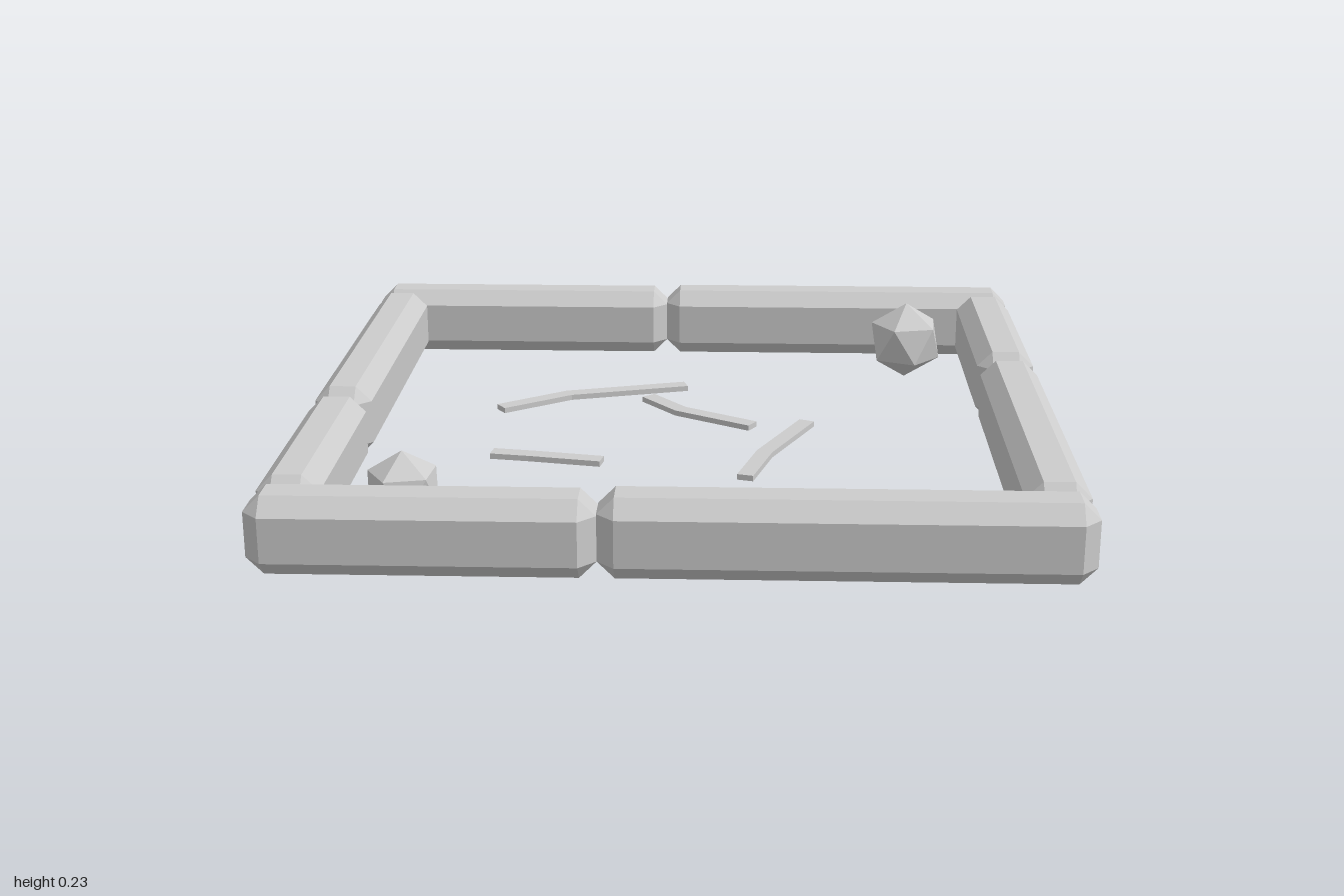
import * as THREE from 'three';
import { ConvexGeometry } from 'three/addons/geometries/ConvexGeometry.js';

const stone = new THREE.MeshStandardMaterial({ color: 0xcccccc });
stone.name = 'grey stone';

// Box with every edge and corner cut by c, as the hull of 24 points
function chamferedBox(w, h, d, c) {
  const points = [];
  for (const sx of [-1, 1]) for (const sy of [-1, 1]) for (const sz of [-1, 1]) {
    const x = w / 2, y = h / 2, z = d / 2;
    points.push(
      new THREE.Vector3(sx * x, sy * (y - c), sz * (z - c)),
      new THREE.Vector3(sx * (x - c), sy * y, sz * (z - c)),
      new THREE.Vector3(sx * (x - c), sy * (y - c), sz * z));
  }
  return new ConvexGeometry(points);
}

// Flat bent strip of constant width along [x, z] points, mitred at the bends
function crackGeometry(path, width, thickness) {
  const pts = path.map(([x, z]) => new THREE.Vector2(x, -z));
  const left = [], right = [];
  pts.forEach((p, i) => {
    const a = pts[Math.max(i - 1, 0)], b = pts[Math.min(i + 1, pts.length - 1)];
    const d1 = (i > 0 ? p.clone().sub(a) : b.clone().sub(p)).normalize();
    const d2 = (i < pts.length - 1 ? b.clone().sub(p) : d1.clone()).normalize();
    const t = d1.clone().add(d2).normalize();
    const n = new THREE.Vector2(-t.y, t.x).multiplyScalar(width / 2 / t.dot(d1));
    left.push(p.clone().add(n));
    right.unshift(p.clone().sub(n));
  });
  const g = new THREE.ExtrudeGeometry(new THREE.Shape([...left, ...right]), { depth: thickness, bevelEnabled: false });
  return g.rotateX(-Math.PI / 2);
}

export function createModel() {
  const model = new THREE.Group();
  model.name = 'stoneFloorFrame';
  const add = (name, geometry, x = 0, y = 0, z = 0) => {
    const mesh = new THREE.Mesh(geometry, stone);
    mesh.name = name;
    mesh.position.set(x, y, z);
    model.add(mesh);
  };

  // Border blocks: name, x range, z range, height
  const blocks = [
    ['frontBlockRight', -1, -0.17, 0.84, 1, 0.198],
    ['frontBlockLeft', -0.17, 1, 0.84, 1, 0.203],
    ['backBlockRight', -1, -0.08, -1, -0.845, 0.2],
    ['backBlockLeft', -0.08, 1, -1, -0.845, 0.204],
    ['rightBlockBack', -1, -0.845, -0.875, 0.18, 0.202],
    ['rightBlockFront', -1, -0.845, 0.18, 0.865, 0.2],
    ['leftBlockBack', 0.84, 1, -0.87, -0.187, 0.207],
    ['leftBlockFront', 0.84, 1, -0.187, 0.87, 0.206],
  ];
  for (const [name, x0, x1, z0, z1, h] of blocks)
    add(name, chamferedBox(x1 - x0, h, z1 - z0, 0.042), (x0 + x1) / 2, h / 2, (z0 + z1) / 2);

  // Corner rocks, each standing on one point
  const rock = r => new THREE.IcosahedronGeometry(r, 0)
    .rotateZ(-Math.atan(2 / (1 + Math.sqrt(5))))
    .rotateY(THREE.MathUtils.degToRad(31));
  add('rockLarge', rock(0.117), 0.668, 0.108, -0.68);
  add('rockSmall', rock(0.1), -0.672, 0.108, 0.665);

  // Bent cracks inside the frame
  const cracks = [
    [[-0.516, -0.056], [-0.334, -0.184], [0, -0.28]],
    [[-0.104, -0.168], [-0.008, -0.05], [0.195, 0.072]],
    [[0.345, 0.04], [0.227, 0.297], [0.176, 0.48]],
    [[-0.495, 0.318], [-0.39, 0.334], [-0.2, 0.37]],
  ];
  cracks.forEach((path, i) => add(`crack${i + 1}`, crackGeometry(path, 0.043, 0.015), 0, 0.07, 0));

  return model;
}
